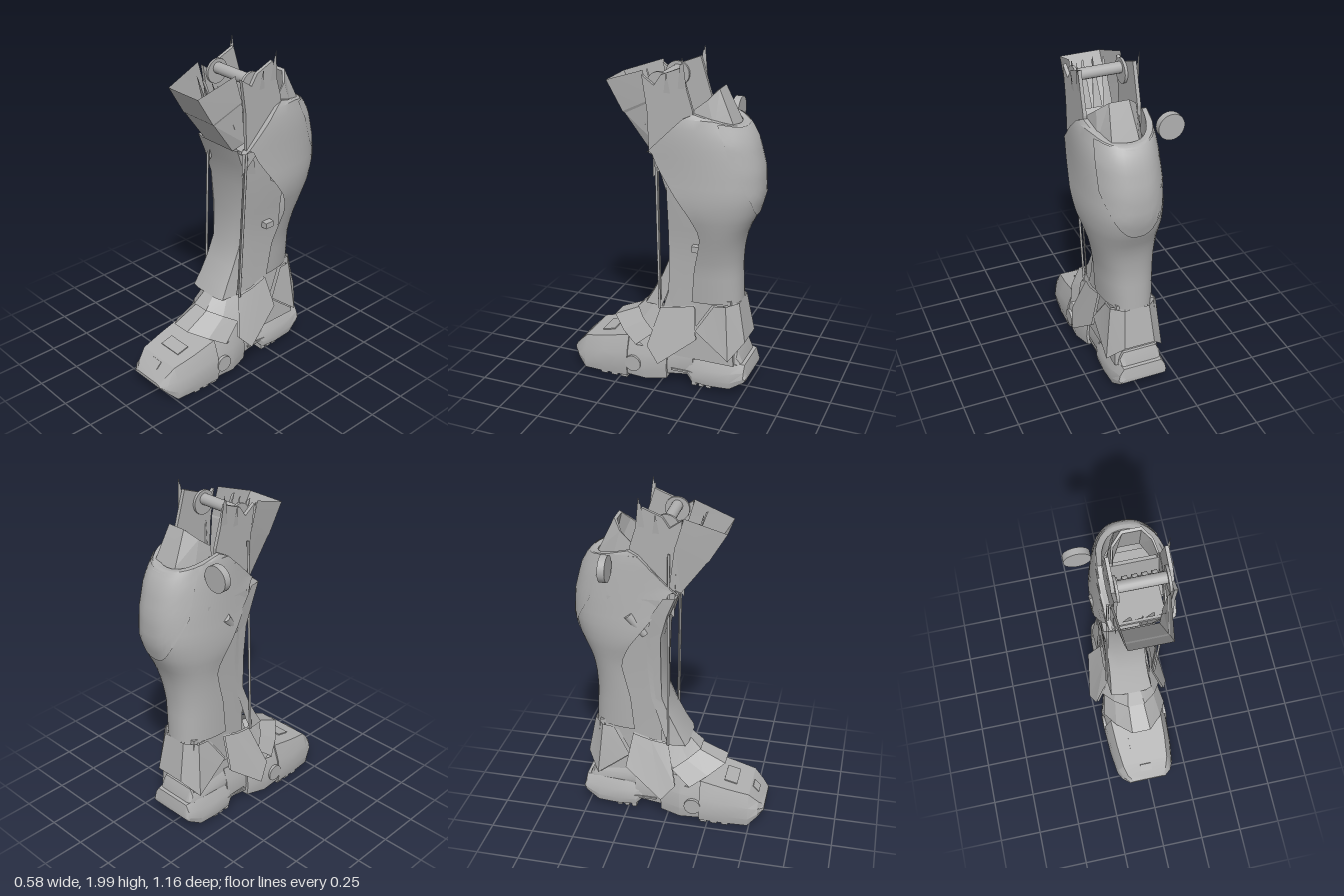
import * as THREE from 'three';
import { toCreasedNormals } from 'three/addons/utils/BufferGeometryUtils.js';

const armour = new THREE.MeshStandardMaterial({ color: 0xb0b0b0, side: THREE.DoubleSide });
armour.name = 'grey armour';

// Skin a surface over rows of [x, y, z] points; closed rows wrap round and are capped.
function loft(rows, closed = false, crease = 0.5) {
  const n = rows[0].length, index = [];
  const cols = closed ? n : n - 1;
  for (let r = 0; r < rows.length - 1; r++) {
    for (let c = 0; c < cols; c++) {
      const a = r * n + c, b = r * n + (c + 1) % n;
      index.push(a, b, a + n, b, b + n, a + n);
    }
  }
  if (closed) {
    const last = (rows.length - 1) * n;
    for (let c = 1; c < n - 1; c++) index.push(0, c + 1, c, last, last + c, last + c + 1);
  }
  const g = new THREE.BufferGeometry();
  g.setAttribute('position', new THREE.Float32BufferAttribute(rows.flat(2), 3));
  g.setIndex(index);
  return toCreasedNormals(g, crease);
}

// Interpolate a table of rows by its first column.
function sample(table, y) {
  let i = 0;
  while (i < table.length - 2 && y > table[i + 1][0]) i++;
  const a = table[i], b = table[i + 1];
  const t = THREE.MathUtils.clamp((y - a[0]) / (b[0] - a[0]), 0, 1);
  return a.map((v, k) => v + (b[k] - v) * t);
}

// Calf: height, front edge z, outer x limits, rear z
const CALF = [
  [0.58, -0.2, -0.145, 0.16, -0.46], [0.8, -0.22, -0.147, 0.18, -0.45], [0.92, -0.25, -0.147, 0.205, -0.46],
  [1.02, -0.27, -0.152, 0.232, -0.485], [1.14, -0.22, -0.178, 0.27, -0.545], [1.25, -0.14, -0.195, 0.295, -0.575],
  [1.4, -0.03, -0.198, 0.303, -0.568], [1.55, 0.04, -0.192, 0.305, -0.53], [1.65, 0.05, -0.182, 0.292, -0.475],
  [1.73, 0.05, -0.165, 0.262, -0.46],
];
const rim = z => z > -0.2 ? 1.46 + (0.05 - z) : 1.71 + (z + 0.2) * 0.27;

function calfPoint(y, t, out = 0) {
  const [, zf, xl, xr, zb] = sample(CALF, y);
  const c = Math.cos(t), s = Math.sin(t);
  const taper = 1 - 0.27 * Math.max(0, (zf + 0.2) / 0.25) * (1 - s) ** 2;
  const x = (xl + xr) / 2 - ((xr - xl) / 2 + out) * taper * Math.sign(c) * Math.abs(c) ** 0.8;
  const z = zf + (zb - out - zf) * s ** 0.9;
  return [x, Math.min(y, rim(z)), z];
}
const steps = n => Array.from({ length: n + 1 }, (_, i) => i / n);

export function createModel() {
  const model = new THREE.Group();
  const add = (name, geometry, x = 0, y = 0, z = 0) => {
    const m = new THREE.Mesh(geometry, armour);
    m.name = name;
    m.position.set(x, y, z);
    model.add(m);
    return m;
  };
  const box = (name, w, h, d, x, y, z) => add(name, new THREE.BoxGeometry(w, h, d), x, y, z);
  const rod = (name, a, b, r, sides = 16) => {
    const p = new THREE.Vector3(...a), q = new THREE.Vector3(...b), d = q.clone().sub(p);
    const m = add(name, new THREE.CylinderGeometry(r, r, d.length(), sides));
    m.position.copy(p).add(q).multiplyScalar(0.5);
    m.quaternion.setFromUnitVectors(new THREE.Vector3(0, 1, 0), d.normalize());
    return m;
  };

  // Calf shell, open at the front, with a thick sloping rim
  const heights = steps(22).map(u => 0.58 + u * 1.15);
  add('calfShell', loft(heights.map(y => steps(24).map(u => calfPoint(y, u * Math.PI)))));
  const rimTop = steps(24).map(u => calfPoint(1.73, u * Math.PI));
  const rimIn = rimTop.map(([x, y, z]) => [0.05 + (x - 0.05) * 0.86, y, -0.2 + (z + 0.2) * 0.9]);
  add('calfRim', loft([rimTop, rimIn, rimIn.map(([x, y, z]) => [x, y - 0.15, z])]));

  // Raised rear calf plate with a rounded lower edge
  add('calfPlate', loft(steps(10).map(v => steps(16).map(u => {
    const low = 1.13 + 0.27 * Math.abs(2 * u - 1) ** 2;
    return calfPoint(low + (1.66 - low) * v, (0.27 + u * 0.46) * Math.PI, 0.005);
  }))));

  // Shin plate: height, x limits, front z, side edge z
  const SHIN = [
    [0.5, -0.15, 0.12, 0.115, 0], [0.58, -0.142, 0.11, 0.07, -0.03], [0.68, -0.137, 0.105, 0.02, -0.06],
    [0.8, -0.135, 0.105, -0.028, -0.1], [1, -0.138, 0.12, -0.036, -0.12], [1.2, -0.155, 0.145, -0.03, -0.12],
    [1.35, -0.168, 0.165, 0.01, -0.09], [1.46, -0.168, 0.172, 0.055, -0.02],
  ];
  add('shinPlate', loft(SHIN.map(([y, l, r, f, e]) =>
    [[l, y, e], [l + 0.008, y, f - 0.012], [l + 0.06, y, f], [r - 0.05, y, f], [r - 0.008, y, f - 0.012], [r, y, e]])));
  // Recessed side walls joining shin and calf
  for (const s of [-1, 1]) {
    add('sideWall', loft([[0.36, 0.125], [0.55, 0.122], [0.8, s < 0 ? 0.13 : 0.11], [1, s < 0 ? 0.132 : 0.125], [1.2, 0.15], [1.44, 0.155]]
      .map(([y, x]) => [[s * x, y, -0.042], [s * (x + 0.005), y, -0.14], [s * x, y, -0.34]])));
  }

  // Side struts, clips and the round side disc
  rod('rightStrut', [0.21, 1.72, 0.002], [0.15, 0.5, 0.002], 0.007, 8);
  rod('rightInnerStrut', [0.18, 1.5, -0.002], [0.135, 0.55, 0], 0.005, 8);
  rod('leftStrut', [-0.12, 1.7, 0], [-0.15, 0.5, 0], 0.007, 8);
  box('lowerClip', 0.06, 0.035, 0.06, 0.13, 0.905, -0.225);
  box('upperClip', 0.06, 0.03, 0.1, 0.225, 1.24, -0.23);
  rod('sideTube', [-0.14, 1.22, -0.13], [-0.165, 1.34, -0.22], 0.026);
  rod('sideDisc', [-0.22, 1.63, -0.35], [-0.22, 1.63, -0.31], 0.075, 32);

  // Knee guard: two slanted bands with folded sides
  const band = (y, l, r, f, ys, zs) => [[l - 0.03, ys, zs], [l, y, f], [r, y, f], [r + 0.03, ys, zs]];
  add('kneeGuard', loft([
    band(1.46, -0.08, 0.145, 0.06, 1.5, 0), band(1.65, -0.08, 0.155, 0.2, 1.74, 0.03), band(1.66, -0.08, 0.16, 0.212, 1.75, 0.035),
    band(1.825, -0.08, 0.155, 0.31, 1.905, 0.08),
  ], false, 0.2));
  // Torn splinters behind the guard
  for (let i = 0; i < 4; i++) {
    const x = -0.06 + i * 0.06;
    add('kneeSplinter', loft([[[x, 1.6, 0.07], [x + 0.055, 1.6, 0.07]], [[x + 0.02, 1.86, 0.15 + 0.015 * (i % 2)], [x + 0.03, 1.85, 0.15]]]));
  }

  // Upright side plates with spikes and pivot caps
  for (const [x, s] of [[-0.09, -1], [0.215, 1]]) {
    const plate = new THREE.Shape([[0.03, 1.46], [0.04, 1.7], [0.07, 1.89], [0, 1.84], [-0.04, 1.9], [-0.15, 1.945], [-0.22, 1.72], [-0.22, 1.46]]
      .map(([z, y]) => new THREE.Vector2(-z, y)));
    const g = new THREE.ExtrudeGeometry(plate, { depth: 0.02, bevelEnabled: false });
    add('uprightPlate', g, x - 0.01, 0, 0).rotation.y = Math.PI / 2;
    for (const [z, top] of [[-0.06, 1.91], [-0.14, 1.97], [-0.15, 2]])
      add('spike', loft([[[x, 1.7, z + 0.02], [x, 1.7, z - 0.05]], [[x + s * 0.02, top, z - 0.012], [x + s * 0.02, top, z - 0.016]]]));
    rod('pivotCap', [x - s * 0.025, 1.84, -0.02], [x - s * 0.01, 1.84, -0.02], 0.07, 24);
  }

  // Pivot rod, and rollers on a cross bar
  rod('pivotRod', [-0.07, 1.86, -0.02], [0.19, 1.86, -0.02], 0.032);
  rod('rollerBar', [-0.08, 1.6, -0.16], [0.2, 1.6, -0.16], 0.012);
  for (let i = 0; i < 5; i++) rod('roller', [-0.065 + i * 0.054, 1.6, -0.16], [-0.035 + i * 0.054, 1.6, -0.16], 0.024);
  box('innerWall', 0.29, 0.2, 0.02, 0.06, 1.57, -0.23);
  box('innerFloor', 0.28, 0.02, 0.42, 0.05, 1.45, -0.18);

  // Rear knee collar leaning forward out of the rim
  const collar = (yb, zb, xb, yf, xf) => [[0.07 - xf, yf, -0.22], [0.07 - xf * 0.85, (yb + yf) / 2, (zb - 0.24) / 2],
    [0.075 - xb, yb, zb], [0.075 + xb, yb, zb], [0.07 + xf * 0.85, (yb + yf) / 2, (zb - 0.24) / 2], [0.07 + xf, yf, -0.22]];
  add('rearCollar', loft([collar(1.55, -0.46, 0.08, 1.5, 0.15), collar(1.65, -0.42, 0.075, 1.6, 0.145),
    collar(1.83, -0.335, 0.055, 1.725, 0.13), collar(1.82, -0.32, 0.05, 1.72, 0.12), collar(1.5, -0.4, 0.06, 1.5, 0.12)], false, 0.2));

  // Ankle side flaps
  for (const s of [-1, 1]) {
    const k = s < 0 ? 0.025 : 0;
    const p = (x, y, z) => [s * (x + (y < 0.4 ? k : 0)), y, z];
    const outer = [[p(0.14, 0.5, 0), p(0.21, 0.27, 0.06)], [p(0.15, 0.52, -0.1), p(0.24, 0.18, -0.02)],
      [p(0.145, 0.55, -0.21), p(0.2, 0.36, -0.24)]];
    add('ankleFlap', loft(outer, false, 0.2));
    add('ankleFlapLining', loft(outer.map(r => r.map(([x, y, z]) => [x - s * 0.015, y, z])), false, 0.2));
  }

  // Heel guard wrapping the back of the ankle, dipping at each side
  const heelBand = (w, front, side, back) => [[-w, ...front], [-w, ...side], [-w * 0.5, ...back],
    [w * 0.5 + 0.02, ...back], [w + 0.02, ...side], [w + 0.02, ...front]];
  const heelTop = heelBand(0.13, [0.57, -0.33], [0.578, -0.4], [0.585, -0.46]);
  const heelLow = heelBand(0.165, [0.41, -0.23], [0.25, -0.43], [0.35, -0.505]);
  add('heelGuard', loft([heelTop, heelLow], false, 0.2));
  add('heelGuardLining', loft([heelTop, heelLow].map(r => r.map(([x, y, z]) => [0.01 + (x - 0.01) * 0.92, y, z + 0.015])), false, 0.2));
  add('ankleSupport', loft([[0.2, 0.13, -0.45, 0.08], [0.6, 0.11, -0.42, -0.042]]
    .map(([y, w, b, f]) => [[-w, y, f], [-w, y, b], [w + 0.01, y, b], [w + 0.01, y, f]]), true));

  // Overlapping instep plates
  const arch = (w, yc, zc, ys, zs) => [[-w - 0.01, ys, zs], [-w * 0.75, (yc + ys) / 2, (zc + zs) / 2], [-w * 0.3, yc - 0.01, zc - 0.01],
    [w * 0.3, yc - 0.01, zc - 0.01], [w * 0.75, (yc + ys) / 2, (zc + zs) / 2], [w, ys, zs]];
  add('upperInstepPlate', loft([arch(0.13, 0.51, 0.125, 0.5, -0.02), arch(0.175, 0.445, 0.19, 0.36, 0.04)], false, 0.2));
  add('lowerInstepPlate', loft([arch(0.16, 0.44, 0.18, 0.35, 0.02), arch(0.19, 0.365, 0.34, 0.25, 0.14), arch(0.17, 0.3, 0.25, 0.24, 0.1)], false, 0.2));

  // Foot blocks from sections of z, half width, bottom, top
  const footBlock = (name, rows) => add(name, loft(rows.map(([z, w, b, t]) => {
    const m = b + (t - b) * 0.6;
    return [[-w * 0.95, b, z], [-w, b + (t - b) * 0.25, z], [-w * 0.95, m, z], [-w * 0.78, t, z],
      [w * 0.78, t, z], [w * 0.95, m, z], [w, b + (t - b) * 0.25, z], [w * 0.95, b, z]].map(([x, y, q]) => [x - 0.01, y, q]);
  }), true, 0.4));
  footBlock('toeCap', [[0.58, 0.115, 0.1, 0.12], [0.545, 0.155, 0.065, 0.16], [0.49, 0.18, 0.01, 0.215], [0.36, 0.197, 0.018, 0.245], [0.2, 0.205, 0.025, 0.285]]);
  footBlock('midFoot', [[0.22, 0.195, 0.035, 0.27], [0.08, 0.2, 0.03, 0.3], [-0.04, 0.165, 0.04, 0.3]]);
  footBlock('footArch', [[-0.03, 0.15, 0.065, 0.28], [-0.2, 0.15, 0.09, 0.3]]);
  footBlock('heel', [[-0.16, 0.15, 0.09, 0.2], [-0.2, 0.165, 0.05, 0.2], [-0.3, 0.17, 0.045, 0.205], [-0.43, 0.165, 0.05, 0.215], [-0.51, 0.15, 0.1, 0.205], [-0.525, 0.14, 0.115, 0.14]]);
  footBlock('heelUpper', [[-0.18, 0.14, 0.18, 0.3], [-0.46, 0.13, 0.18, 0.285], [-0.49, 0.12, 0.18, 0.21]]);

  // Sole treads, side bolts and sole disc
  for (let i = 0; i < 3; i++) box('toeTread', 0.37, 0.02, 0.04, -0.01, 0.016, 0.355 - i * 0.065);
  for (let i = 0; i < 3; i++) box('heelTread', 0.3, 0.03, 0.03, -0.01, 0.04, -0.21 - i * 0.045);
  rod('soleDisc', [-0.01, 0.022, 0.07], [-0.01, 0.04, 0.07], 0.1, 32);
  for (const s of [-1, 1]) {
    rod('sideBolt', [s * 0.17 - 0.01, 0.12, 0.16], [s * 0.206 - 0.01, 0.12, 0.16], 0.05, 24);
    box('heelSlot', 0.008, 0.012, 0.14, s * 0.158 - 0.01, 0.11, -0.14);
  }

  // Toe cap insets
  box('toeInset', 0.15, 0.009, 0.08, -0.01, 0.245, 0.37).rotation.x = 0.24;
  box('toeTab', 0.07, 0.009, 0.05, -0.01, 0.188, 0.518).rotation.x = 0.785;

  return model;
}
